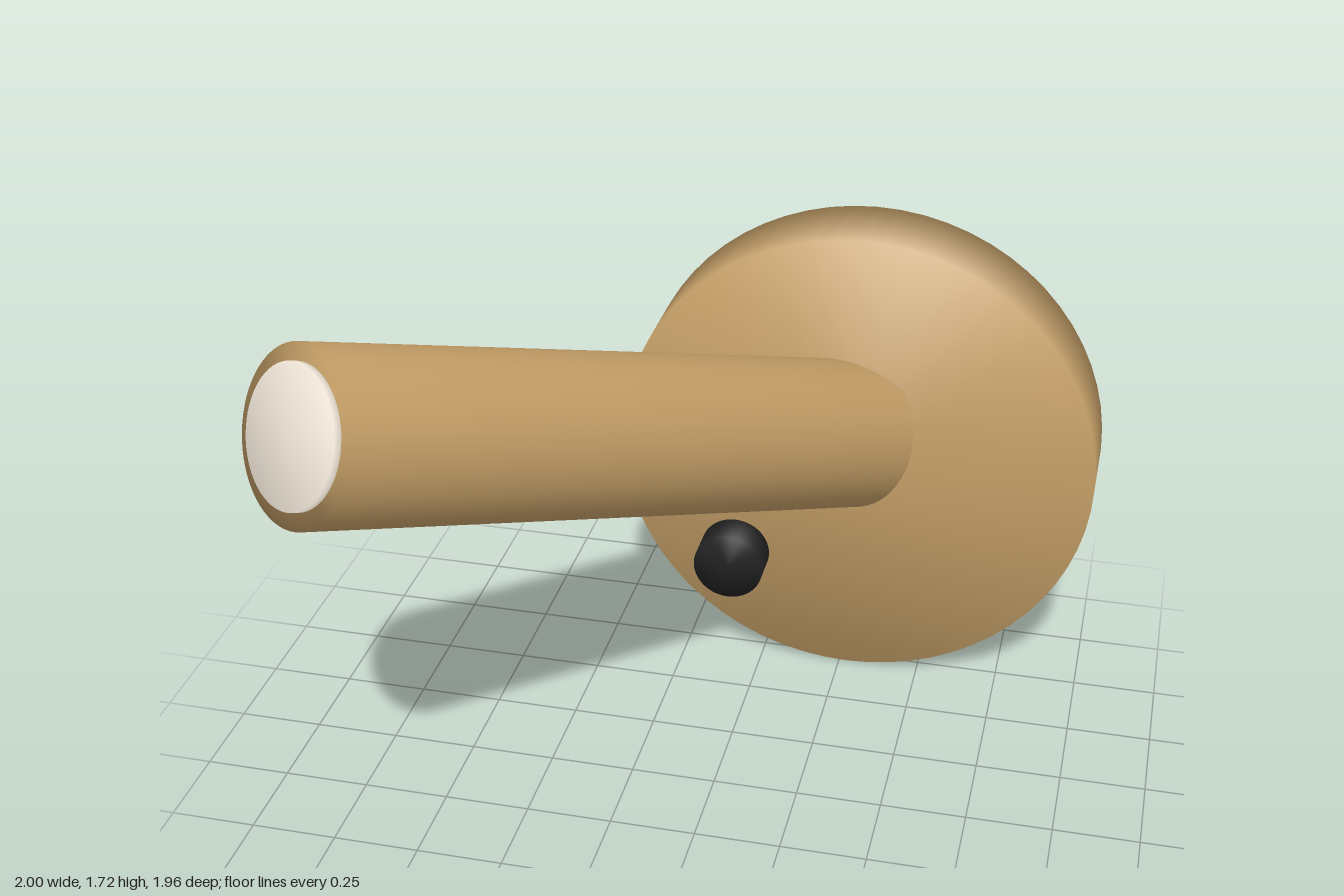
import * as THREE from 'three';
import { mergeVertices } from 'three/addons/utils/BufferGeometryUtils.js';

const brass = new THREE.MeshStandardMaterial({ color: 0xc6a068 });
const black = new THREE.MeshStandardMaterial({ color: 0x222222 });
const cream = new THREE.MeshStandardMaterial({ color: 0xf0e6d8 });

// Solid cylinder between two points, its shading softened over the rims
function rod(name, from, to, radius, material) {
  const axis = new THREE.Vector3().subVectors(to, from);
  let geometry = new THREE.CylinderGeometry(radius, radius, axis.length(), 64);
  geometry.deleteAttribute('normal');
  geometry.deleteAttribute('uv');
  geometry = mergeVertices(geometry);
  geometry.computeVertexNormals();

  const mesh = new THREE.Mesh(geometry, material);
  mesh.name = name;
  mesh.position.addVectors(from, to).multiplyScalar(0.5);
  mesh.quaternion.setFromUnitVectors(new THREE.Vector3(0, 1, 0), axis.normalize());
  return mesh;
}

export function createModel() {
  const model = new THREE.Group();
  model.name = 'wallLamp';
  const v = (x, y, z) => new THREE.Vector3(x, y, z);

  // Round wall plate with a push button on its front
  model.add(rod('wallPlate', v(0.272, 0.728, -0.98), v(0.272, 0.728, -0.71), 0.728, brass));
  model.add(rod('switchButton', v(-0.095, 0.37, -0.72), v(-0.095, 0.37, -0.6), 0.109, black));

  // Slanted lamp tube rising from the plate
  const base = v(0.27, 0.82, -0.735);
  const tip = v(-0.81, 1.51, 0.838);
  model.add(rod('lampTube', base, tip, 0.224, brass));

  // Pale lens standing slightly proud of the tube's end
  const direction = v(0, 0, 0).subVectors(tip, base).normalize();
  const lensBack = tip.clone().addScaledVector(direction, -0.03);
  const lensFront = tip.clone().addScaledVector(direction, 0.02);
  model.add(rod('lens', lensBack, lensFront, 0.178, cream));

  return model;
}
